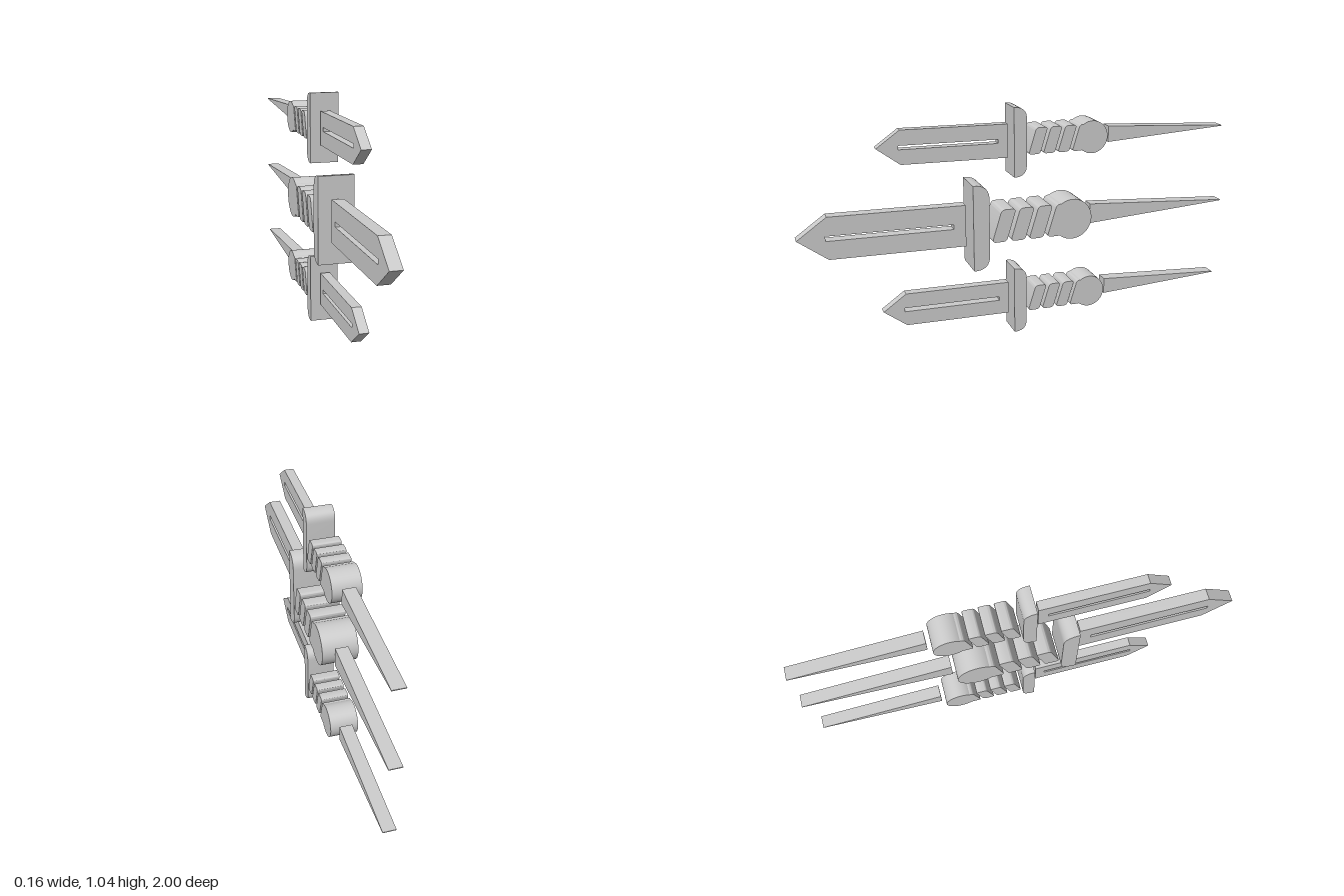
import * as THREE from 'three';
import { toCreasedNormals } from 'three/addons/utils/BufferGeometryUtils.js';

const material = new THREE.MeshStandardMaterial({ color: 0xcccccc });

const outline = (points) => new THREE.Shape(points.map(([z, y]) => new THREE.Vector2(z, y)));

// Extrude a (z, y) side profile to a given width, centred on x = 0
function slab(name, shape, width) {
  const geo = new THREE.ExtrudeGeometry(shape, { depth: width, bevelEnabled: false, curveSegments: 8 });
  geo.translate(0, 0, -width / 2);
  geo.rotateY(-Math.PI / 2);
  const mesh = new THREE.Mesh(toCreasedNormals(geo, 0.6), material);
  mesh.name = name;
  return mesh;
}

// Polygon with every corner rounded by a quadratic curve
function rounded(points, r) {
  const p = points.map(([z, y]) => new THREE.Vector2(z, y));
  const shape = new THREE.Shape();
  p.forEach((c, i) => {
    const prev = p[(i + p.length - 1) % p.length], next = p[(i + 1) % p.length];
    const a = prev.clone().sub(c).setLength(r).add(c);
    const b = next.clone().sub(c).setLength(r).add(c);
    if (i) shape.lineTo(a.x, a.y); else shape.moveTo(a.x, a.y);
    shape.quadraticCurveTo(c.x, c.y, b.x, b.y);
  });
  shape.closePath();
  return shape;
}

// Dagger profile around y = 0; the spike is placed by its own start and tip
function dagger(name, scale, y, z, spikeStart, spikeTip) {
  const group = new THREE.Group();
  group.name = name;
  const body = new THREE.Group();
  body.name = 'body';
  body.scale.setScalar(scale);
  body.position.set(0, y, z);
  group.add(body);

  // Pointed blade with a long narrow slot
  const blade = outline([[0.27, -0.092], [0.87, -0.084], [1, 0.012], [0.87, 0.105], [0.27, 0.097]]);
  blade.holes.push(new THREE.Path([[0.325, -0.008], [0.325, 0.014], [0.88, 0.021], [0.88, -0.001]]
    .map(([a, b]) => new THREE.Vector2(a, b))));
  body.add(slab('blade', blade, 0.054));

  // Guard, flat in front and rounded at its rear corners
  const guard = new THREE.Shape();
  guard.moveTo(0.25, -0.195);
  guard.lineTo(0.25, 0.195);
  guard.lineTo(0.235, 0.195);
  guard.quadraticCurveTo(0.177, 0.19, 0.177, 0.13);
  guard.lineTo(0.177, -0.13);
  guard.quadraticCurveTo(0.177, -0.19, 0.235, -0.195);
  guard.closePath();
  body.add(slab('guard', guard, 0.16));

  // Slanted grip ridges
  for (let i = 0; i < 4; i++) {
    const s = 0.166 - i * 0.086;
    body.add(slab('gripRidge' + (i + 1),
      rounded([[s, -0.072], [s - 0.045, 0.076], [s - 0.112, 0.076], [s - 0.067, -0.072]], 0.018), 0.16));
  }

  // Round pommel lying across the handle
  const pommel = new THREE.Mesh(new THREE.CylinderGeometry(0.093, 0.093, 0.16, 40), material);
  pommel.name = 'pommel';
  pommel.rotation.z = Math.PI / 2;
  pommel.position.z = -0.212;
  body.add(pommel);

  // Wedge-shaped rear spike
  const h = 0.046 * scale;
  const spike = slab('spike', outline([[spikeStart, -h], [spikeStart, h], [spikeTip, 0.002], [spikeTip, -0.002]]), 0.058);
  spike.position.y = y;
  group.add(spike);
  return group;
}

export function createModel() {
  const model = new THREE.Group();
  model.name = 'daggers';
  model.add(dagger('middleDagger', 1, 0.522, 0, -0.32, -1));
  model.add(dagger('lowerDagger', 0.79, 0.154, -0.14, -0.4, -0.98));
  model.add(dagger('upperDagger', 0.79, 0.889, -0.14, -0.4, -0.98));
  return model;
}
